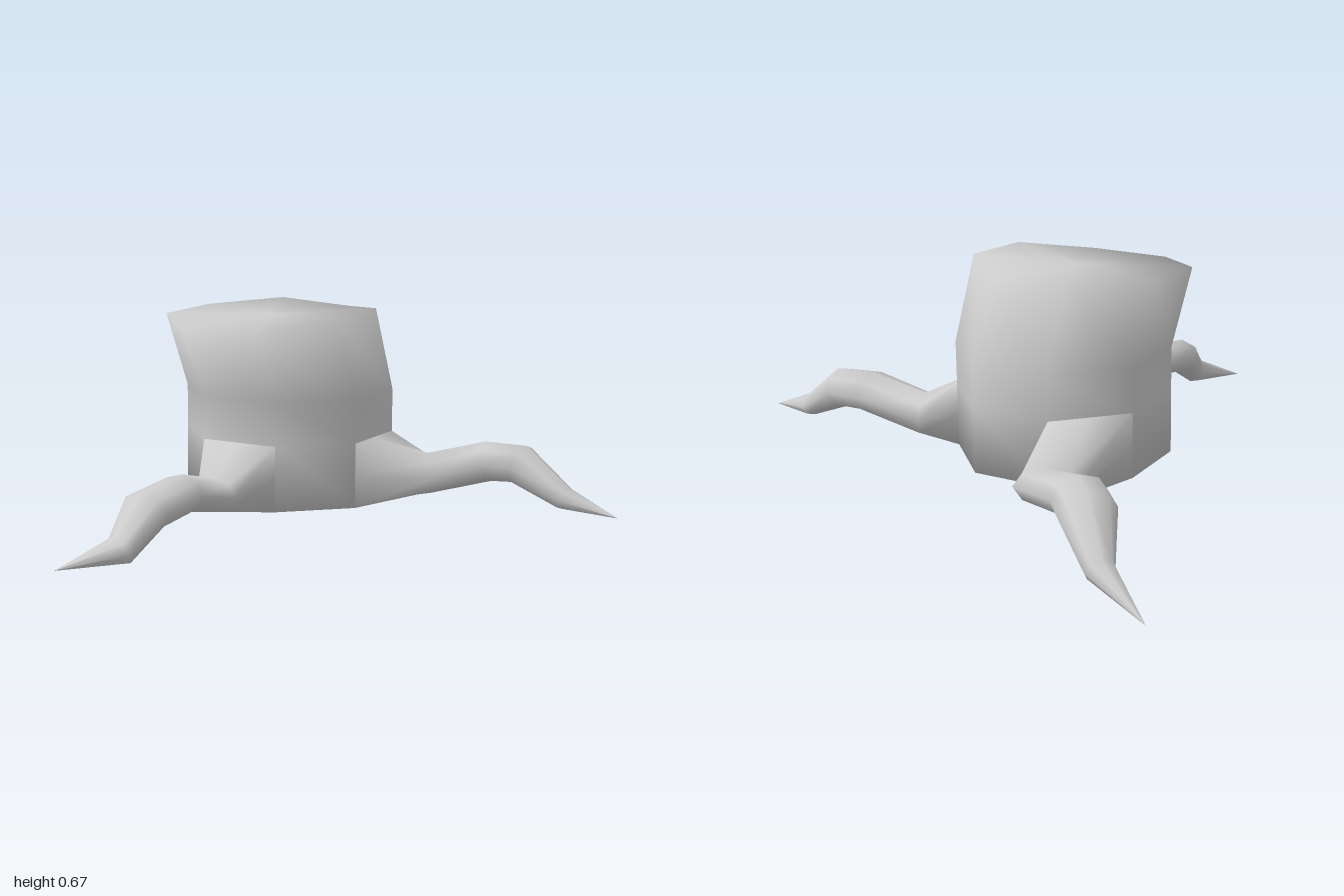
import * as THREE from 'three';

const SIDES = 8;
const V = (x, y, z) => new THREE.Vector3(x, y, z);
const angle = j => j * Math.PI * 2 / SIDES;

// Skin a list of equal-length closed rings with smooth normals
function loft(name, rings) {
  const n = rings[0].length, index = [];
  for (let i = 0; i < rings.length - 1; i++) {
    for (let j = 0; j < n; j++) {
      const a = i * n + j, b = i * n + (j + 1) % n;
      index.push(a, b, a + n, b, b + n, a + n);
    }
  }
  const geometry = new THREE.BufferGeometry().setFromPoints(rings.flat());
  geometry.setIndex(index);
  geometry.computeVertexNormals();
  const mesh = new THREE.Mesh(geometry, new THREE.MeshStandardMaterial({ color: 0xcccccc }));
  mesh.name = name;
  return mesh;
}

// Octagonal trunk ring with one height per corner, counter-clockwise from +x
function trunkRing(cx, heights, radius) {
  return heights.map((y, j) =>
    V(cx + radius * Math.cos(angle(j)), y, 0.035 - radius * Math.sin(angle(j))));
}

// Root growing out of the trunk face between base corners k and k + 1,
// through sections of [x, y, z, half width, half height] to a point
function root(name, base, k, sections) {
  const halfEdge = base[k + 1].clone().sub(base[k]).multiplyScalar(0.5);
  const mouth = base[k].clone().add(halfEdge).setY(0.155);
  const square = c => THREE.MathUtils.clamp(c * Math.SQRT2, -1, 1);
  const rings = [base.map((_, j) => mouth.clone()
    .addScaledVector(halfEdge, square(Math.cos(angle(j))))
    .add(V(0, 0.105 * square(Math.sin(angle(j))), 0)))];

  const p = [mouth, ...sections.map(([x, y, z]) => V(x, y, z))];
  sections.forEach(([, , , w, h], i) => {
    const t = p[Math.min(i + 2, p.length - 1)].clone().sub(p[i]).normalize();
    const side = V(0, 1, 0).cross(t).normalize();
    const up = t.clone().cross(side);
    rings.push(base.map((_, j) => p[i + 1].clone()
      .addScaledVector(side, w * Math.cos(angle(j)))
      .addScaledVector(up, h * Math.sin(angle(j)))));
  });
  return loft(name, rings);
}

export function createModel() {
  const group = new THREE.Group();
  group.name = 'treeStump';

  // Upright base, leaning upper trunk, uneven rim and cut top
  const level = y => Array(SIDES).fill(y);
  const rimY = [0.655, 0.673, 0.655, 0.645, 0.62, 0.622, 0.66, 0.673];
  const base = trunkRing(0.26, level(0.05), 0.345);
  group.add(loft('trunk', [
    trunkRing(0.26, level(0.05), 0),
    base,
    trunkRing(0.26, level(0.26), 0.345),
    trunkRing(0.26, level(0.4), 0.345),
    trunkRing(0.178, rimY, 0.347),
    trunkRing(0.178, level(0.65), 0),
  ]));

  // Three knobbly roots: flared at the trunk, rising, then dipping to a point
  group.add(
    root('rightRoot', base, 4, [
      [-0.20, 0.13, 0.25, 0.077, 0.053],
      [-0.35, 0.165, 0.30, 0.083, 0.057],
      [-0.51, 0.14, 0.345, 0.083, 0.06],
      [-0.625, 0.05, 0.39, 0.057, 0.044],
      [-0.81, 0.01, 0.34, 0, 0],
    ]),
    root('frontRoot', base, 6, [
      [0.55, 0.135, 0.415, 0.098, 0.067],
      [0.65, 0.19, 0.58, 0.09, 0.065],
      [0.70, 0.19, 0.67, 0.085, 0.065],
      [0.745, 0.10, 0.82, 0.045, 0.037],
      [0.785, 0.065, 1.0, 0, 0],
    ]),
    root('backRoot', base, 1, [
      [0.625, 0.13, -0.36, 0.097, 0.057],
      [0.65, 0.17, -0.55, 0.088, 0.06],
      [0.695, 0.17, -0.64, 0.087, 0.062],
      [0.77, 0.07, -0.79, 0.045, 0.037],
      [0.79, 0, -1.0, 0, 0],
    ])
  );
  return group;
}
